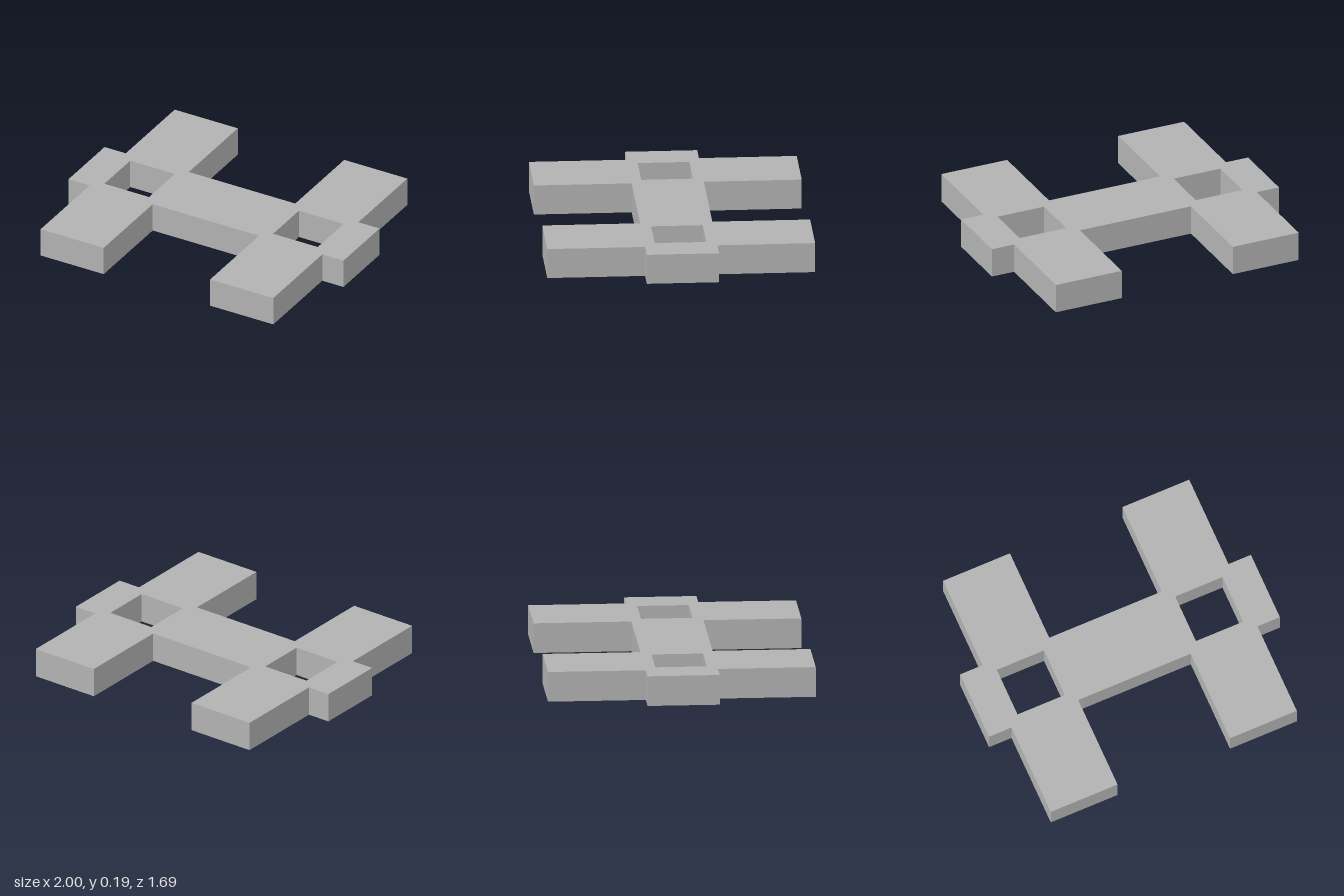
import * as THREE from 'three';

const HEIGHT = 0.193;
const END_X = 1, ARM_OUT = 0.846, ARM_IN = 0.387; // beam end, arm sides
const ARM_Z = 0.846, BEAM_Z = 0.228;              // arm reach, beam half width
const HOLE_IN = 0.451, HOLE_OUT = 0.776, HOLE_Z = 0.163;

export function createModel() {
  const group = new THREE.Group();
  const grey = new THREE.MeshStandardMaterial({ color: 0xb2b2b2 });
  grey.name = 'plain grey';

  // One quarter of the double-cross outline, mirrored into the other three
  const quarter = [[END_X, BEAM_Z], [ARM_OUT, BEAM_Z], [ARM_OUT, ARM_Z], [ARM_IN, ARM_Z], [ARM_IN, BEAM_Z]];
  const mirror = (sx, sy) => {
    const pts = quarter.map(([x, y]) => new THREE.Vector2(x * sx, y * sy));
    return sx * sy < 0 ? pts.reverse() : pts;
  };
  const outline = new THREE.Shape([
    ...mirror(1, 1), ...mirror(-1, 1), ...mirror(-1, -1), ...mirror(1, -1),
  ]);

  // Square through-hole at each crossing
  for (const s of [-1, 1]) {
    outline.holes.push(new THREE.Path([
      new THREE.Vector2(s * HOLE_IN, -HOLE_Z), new THREE.Vector2(s * HOLE_IN, HOLE_Z),
      new THREE.Vector2(s * HOLE_OUT, HOLE_Z), new THREE.Vector2(s * HOLE_OUT, -HOLE_Z),
    ]));
  }

  // Lay the extruded plate flat on the ground
  const geometry = new THREE.ExtrudeGeometry(outline, { depth: HEIGHT, bevelEnabled: false });
  geometry.rotateX(-Math.PI / 2);
  const plate = new THREE.Mesh(geometry, grey);
  plate.name = 'doubleCrossPlate';
  group.add(plate);
  return group;
}
